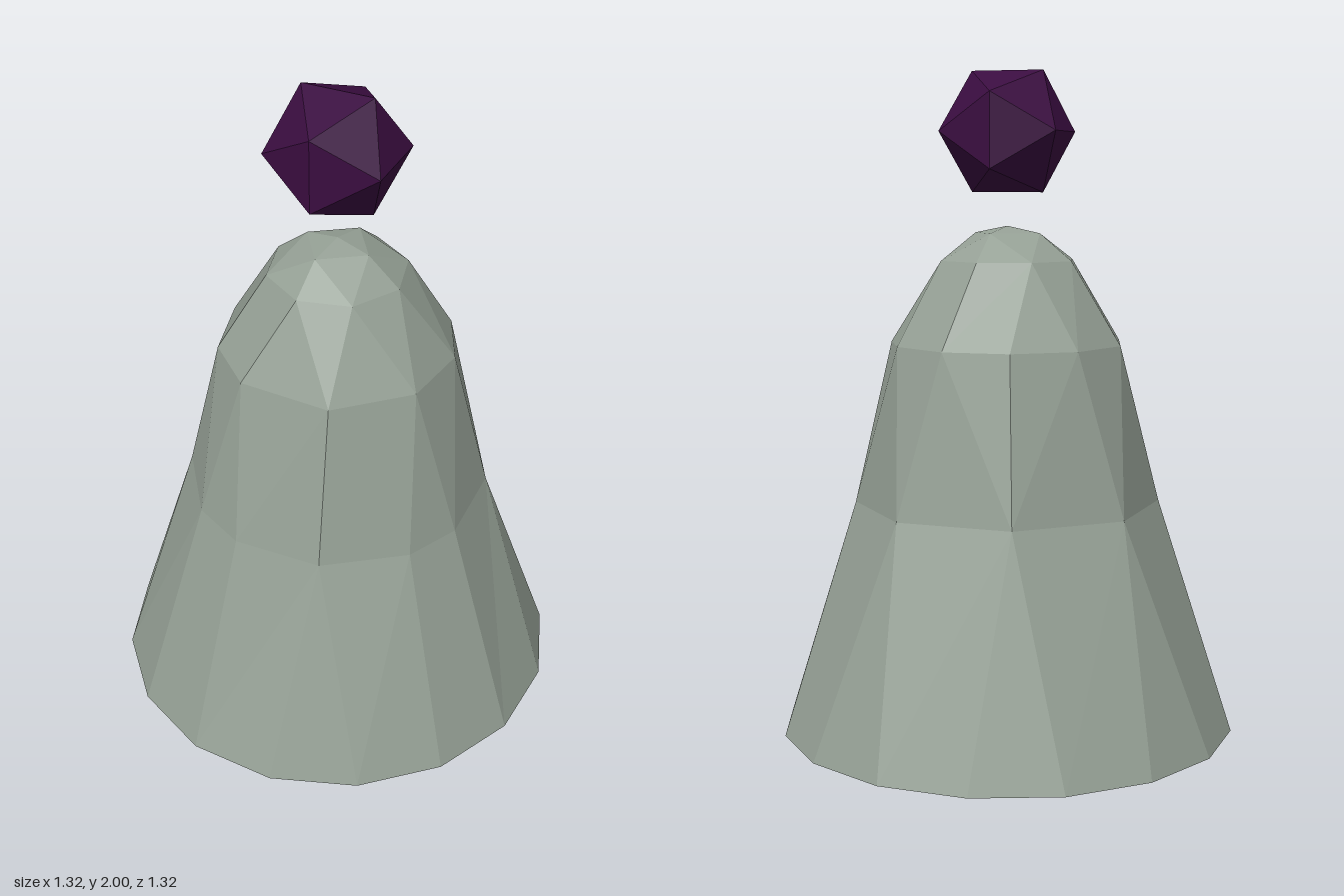
import * as THREE from 'three';

// Evenly spaced angles in degrees
const even = (n, start) => Array.from({ length: n }, (_, i) => start + (i * 360) / n);

// A horizontal ring of points; lead is the twist towards the ring below
const ring = (y, r, angles, lead = 0) => ({ y, r, angles, lead });

const point = ({ y, r, angles }, i) => {
  const a = THREE.MathUtils.degToRad(angles[i % angles.length]);
  return [r * Math.cos(a), y, r * Math.sin(a)];
};

// Angle halfway along the next edge of a ring, Infinity once it is closed
function nextMid({ angles, lead }, i, useLead) {
  const n = angles.length;
  if (n === 1 || i >= n) return Infinity;
  const end = i + 1 < n ? angles[i + 1] : angles[0] + 360;
  return (angles[i] + end) / 2 + (useLead ? lead : 0);
}

// Joins two rings of different counts with a strip of triangles
function stitch(low, high, out) {
  let i = 0, j = 0;
  for (;;) {
    const a = nextMid(low, i, false), b = nextMid(high, j, true);
    if (a === Infinity && b === Infinity) return;
    if (a <= b) {
      out.push(...point(low, i + 1), ...point(low, i), ...point(high, j));
      i++;
    } else {
      out.push(...point(low, i), ...point(high, j), ...point(high, j + 1));
      j++;
    }
  }
}

export function createModel() {
  const model = new THREE.Group();
  model.name = 'model';

  // Twisted faceted bell body, from the underside up to the crown
  const rings = [
    ring(0, 0, [0]),
    ring(0.012, 0.24, even(4, -7.7)),
    ring(0.08, 0.667, even(16, -7.7)),
    ring(0.75, 0.447, [-18.6, 15.6, 37.5, 71.6, 105.4, 128, 161.6, 206.6, 251.6, 296.6], 16),
    ring(1.22, 0.343, [-10, 26, 69, 116, 148, 183, 218.5, 252, 285, 319]),
    ring(1.46, 0.202, even(8, -36.5), 14),
    ring(1.538, 0.105, even(4, -79)),
    ring(1.558, 0, [0]),
  ];
  const positions = [];
  for (let k = 0; k + 1 < rings.length; k++) stitch(rings[k], rings[k + 1], positions);
  const bodyGeometry = new THREE.BufferGeometry();
  bodyGeometry.setAttribute('position', new THREE.Float32BufferAttribute(positions, 3));
  bodyGeometry.computeVertexNormals();
  const body = new THREE.Mesh(
    bodyGeometry,
    new THREE.MeshStandardMaterial({ color: 0x95a095, flatShading: true })
  );
  body.name = 'bellBody';
  model.add(body);

  // Gem floating above the crown
  const gem = new THREE.Mesh(
    new THREE.IcosahedronGeometry(0.203, 0),
    new THREE.MeshStandardMaterial({ color: 0x3a0d40, flatShading: true })
  );
  gem.name = 'floatingGem';
  gem.position.y = 1.827;
  model.add(gem);

  return model;
}
